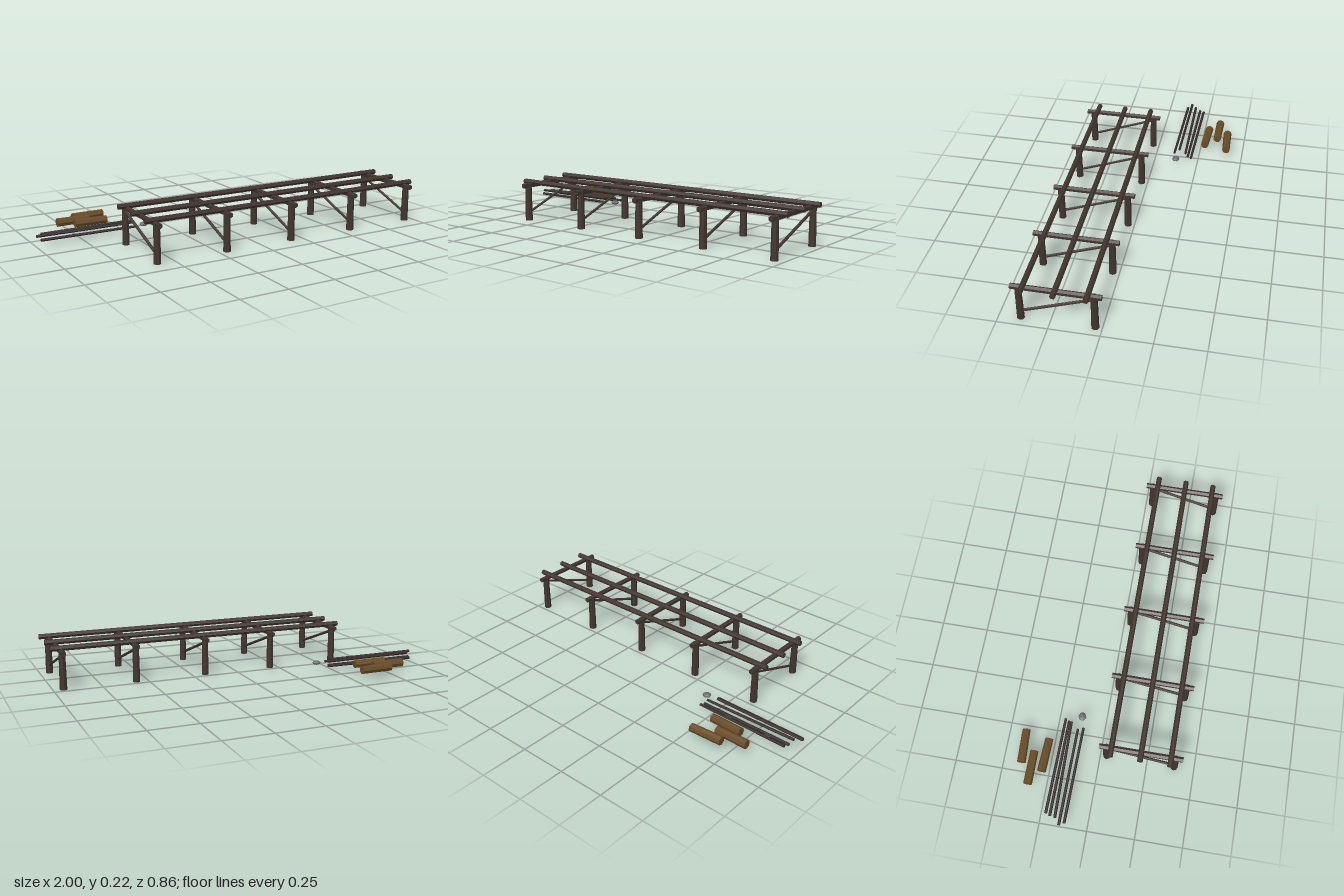
import * as THREE from 'three';

const mat = (name, color) => {
  const m = new THREE.MeshStandardMaterial({ color, flatShading: true });
  m.name = name;
  return m;
};

// Faceted round timber running from point a to point b
function timber(name, a, b, r0, r1, sides, material) {
  const start = new THREE.Vector3(...a), end = new THREE.Vector3(...b);
  const dir = end.clone().sub(start);
  const mesh = new THREE.Mesh(new THREE.CylinderGeometry(r1, r0, dir.length(), sides), material);
  mesh.quaternion.setFromUnitVectors(new THREE.Vector3(0, 1, 0), dir.normalize());
  mesh.position.copy(start.add(end).multiplyScalar(0.5));
  mesh.name = name;
  return mesh;
}

export function createModel() {
  const darkWood = mat('darkWood', 0x40342f);
  const poleWood = mat('poleWood', 0x352c2b);
  const logWood = mat('logWood', 0x674b26);
  const stone = mat('stone', 0x6a6a6c);

  const model = new THREE.Group();
  model.name = 'timberFrame';

  // Trestles: two posts, a crossbeam and a diagonal brace each
  for (let i = 0; i < 5; i++) {
    const x = -0.59 + i * 0.3845;
    const trestle = new THREE.Group();
    trestle.name = 'trestle' + (i + 1);
    trestle.add(
      timber('frontPost', [x, 0, 0.394], [x, 0.2, 0.394], 0.0195, 0.017, 8, darkWood),
      timber('backPost', [x, 0, 0.034], [x, 0.2, 0.034], 0.0195, 0.017, 8, darkWood),
      timber('crossbeam', [x, 0.194, -0.003], [x, 0.194, 0.432], 0.0145, 0.0145, 6, darkWood),
      timber('brace', [x, 0.044, 0.392], [x, 0.177, 0.036], 0.0075, 0.0075, 6, darkWood)
    );
    model.add(trestle);
  }

  // Long beams across the trestles
  for (const z of [0.061, 0.215, 0.369]) {
    model.add(timber('longBeam', [-0.64, 0.2095, z], [1, 0.2095, z], 0.0145, 0.0145, 6, darkWood));
  }

  // Loose poles: start x, height, start z, end z
  const poles = [
    [-0.95, 0.042, -0.222, -0.214],
    [-0.96, 0.042, -0.199, -0.194],
    [-0.967, 0.058, -0.17, -0.179],
    [-1.0, 0.058, -0.143, -0.139],
    [-0.985, 0.042, -0.119, -0.112]
  ];
  for (const [x, y, z0, z1] of poles) {
    model.add(timber('loosePole', [x, y, z0], [x + 0.512, y, z1], 0.0078, 0.0068, 6, poleWood));
  }

  // Cut logs: start x, start z, end z
  for (const [x, z0, z1] of [[-0.712, -0.398, -0.407], [-0.819, -0.343, -0.343], [-0.742, -0.285, -0.278]]) {
    model.add(timber('cutLog', [x, 0.056, z0], [x + 0.177, 0.056, z1], 0.0235, 0.0215, 8, logWood));
  }

  // Small flattened stone
  const rock = new THREE.Mesh(new THREE.IcosahedronGeometry(1, 1), stone);
  rock.name = 'stone';
  rock.scale.set(0.023, 0.0115, 0.021);
  rock.position.set(-0.413, 0.044, -0.129);
  model.add(rock);

  return model;
}
